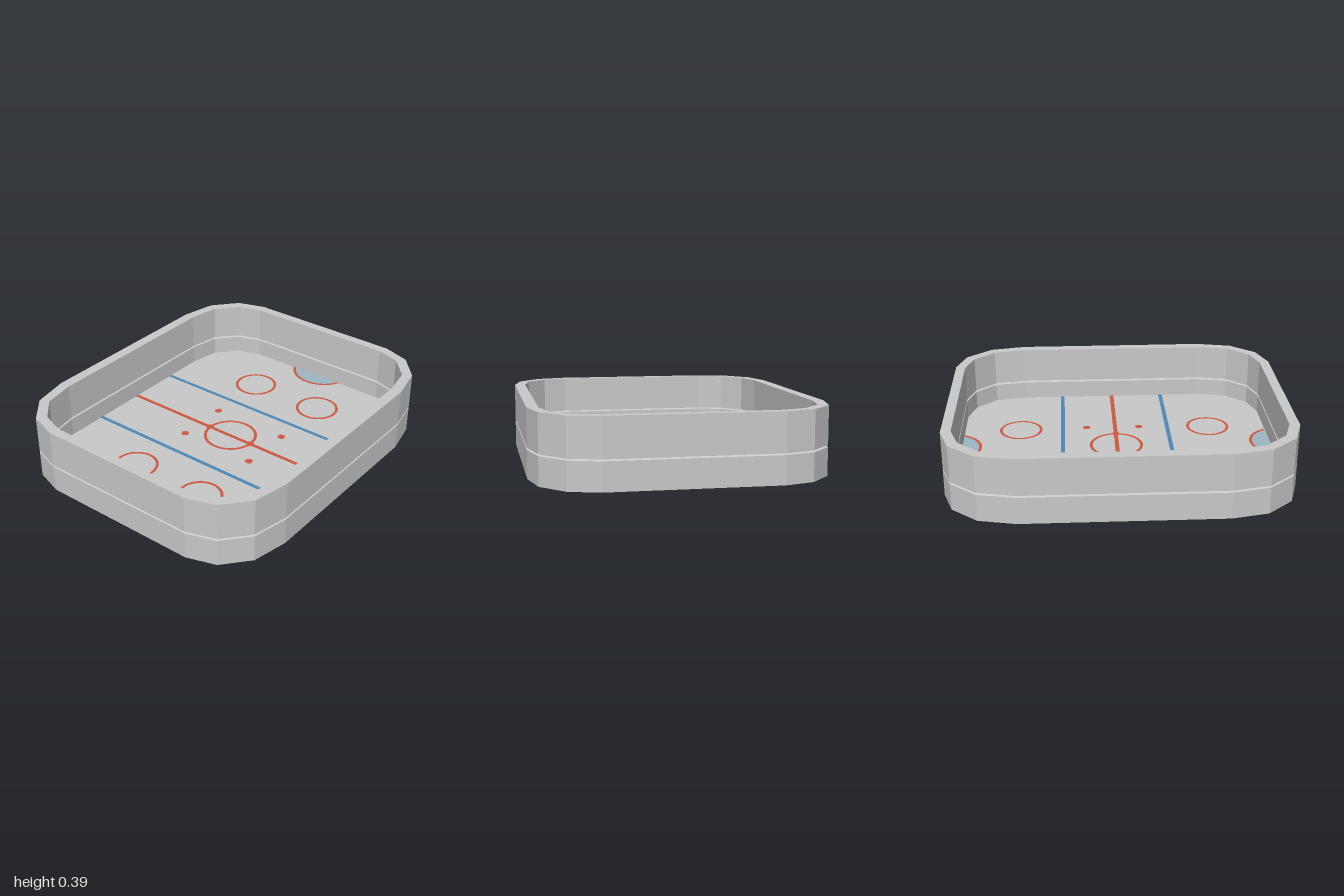
import * as THREE from 'three';

const FLOOR = 0.05;

export function createModel() {
  const model = new THREE.Group();
  model.name = 'iceRink';
  const paint = (name, color) => {
    const m = new THREE.MeshStandardMaterial({ color });
    m.name = name;
    return m;
  };
  const grey = paint('grey', 0xc9c9c9);
  const red = paint('red', 0xcd583e);
  const blue = paint('blue', 0x4d88b8);
  const paleBlue = paint('paleBlue', 0x9cb5c6);

  // One corner of the outer and inner outlines, mirrored to all four
  const mirrorCorner = (q) => {
    const r = [...q].reverse();
    return [
      ...q,
      ...r.map(([x, z]) => [-x, z]),
      ...q.map(([x, z]) => [-x, -z]),
      ...r.map(([x, z]) => [x, -z]),
    ];
  };
  const outer = mirrorCorner([[0.83, 0.58], [0.785, 0.795], [0.655, 0.945], [0.485, 1]]);
  const inner = mirrorCorner([[0.765, 0.58], [0.73, 0.77], [0.615, 0.895], [0.47, 0.942]]);
  const n = outer.length;

  // Wall section: [blend from outer to inner outline, height], grooved on both sides
  const section = [
    [0, 0], [0, 0.16], [0.3, 0.166], [0.3, 0.172], [0, 0.172], [0, 0.39],
    [1, 0.39], [1, 0.172], [0.7, 0.172], [0.7, 0.166], [1, 0.16], [1, FLOOR],
  ];
  const point = (i, [t, y]) => {
    const a = outer[i % n], b = inner[i % n];
    return [a[0] + (b[0] - a[0]) * t, y, a[1] + (b[1] - a[1]) * t];
  };
  const pos = [];
  for (let i = 0; i < n; i++) {
    for (let k = 0; k < section.length - 1; k++) {
      const a = point(i, section[k]), b = point(i + 1, section[k]);
      const c = point(i + 1, section[k + 1]), d = point(i, section[k + 1]);
      pos.push(...a, ...c, ...b, ...a, ...d, ...c);
    }
  }
  const wallGeo = new THREE.BufferGeometry();
  wallGeo.setAttribute('position', new THREE.Float32BufferAttribute(pos, 3));
  wallGeo.computeVertexNormals();

  const add = (name, geo, mat) => {
    const mesh = new THREE.Mesh(geo, mat);
    mesh.name = name;
    model.add(mesh);
    return mesh;
  };
  add('boards', wallGeo, grey);

  // Flat faces: floor inside the boards and underside
  const outline = (pts) => new THREE.ShapeGeometry(new THREE.Shape(pts.map(([x, z]) => new THREE.Vector2(x, -z))));
  add('floor', outline(inner).rotateX(-Math.PI / 2).translate(0, FLOOR, 0), grey);
  add('underside', outline(outer.map(([x, z]) => [x, -z])).rotateX(Math.PI / 2), grey);

  // Painted markings just above the floor
  const mark = (name, geo, mat, x, z, lift = 0.002) =>
    add(name, geo.rotateX(-Math.PI / 2).translate(x, FLOOR + lift, z), mat);

  mark('centreLine', new THREE.PlaneGeometry(1.53, 0.025), red, 0, 0);
  for (const z of [-0.33, 0.33]) mark('blueLine', new THREE.PlaneGeometry(1.53, 0.025), blue, 0, z);

  mark('centreCircle', new THREE.RingGeometry(0.145, 0.163, 40), red, 0.003, -0.004, 0.003);
  for (const x of [-0.152, 0.158]) mark('centreCircleSpot', new THREE.CircleGeometry(0.024, 12), red, x, 0, 0.004);

  for (const x of [-0.24, 0.245])
    for (const z of [-0.592, 0.586])
      mark('faceOffCircle', new THREE.RingGeometry(0.117, 0.134, 40), red, x, z);

  for (const x of [-0.23, 0.26])
    for (const z of [-0.18, 0.15])
      mark('faceOffSpot', new THREE.CircleGeometry(0.024, 12), red, x, z);

  // Goal creases: circle segments cut off by the end boards
  const R = 0.197, r = 0.18, cut = 0.075;
  for (const s of [-1, 1]) {
    const a = Math.asin(cut / R), b = Math.asin(cut / r);
    const crease = new THREE.Shape();
    crease.absarc(0, 0, r, b, Math.PI - b, false);
    const arc = new THREE.Shape();
    arc.absarc(0, 0, R, a, Math.PI - a, false);
    arc.absarc(0, 0, r, Math.PI - b, b, true);
    for (const [name, shape, mat] of [['goalCrease', crease, paleBlue], ['goalCreaseArc', arc, red]]) {
      const geo = new THREE.ShapeGeometry(shape, 20);
      if (s < 0) geo.rotateZ(Math.PI);
      mark(name, geo, mat, 0.004, s * (0.941 + cut) - 0.003);
    }
  }
  return model;
}
